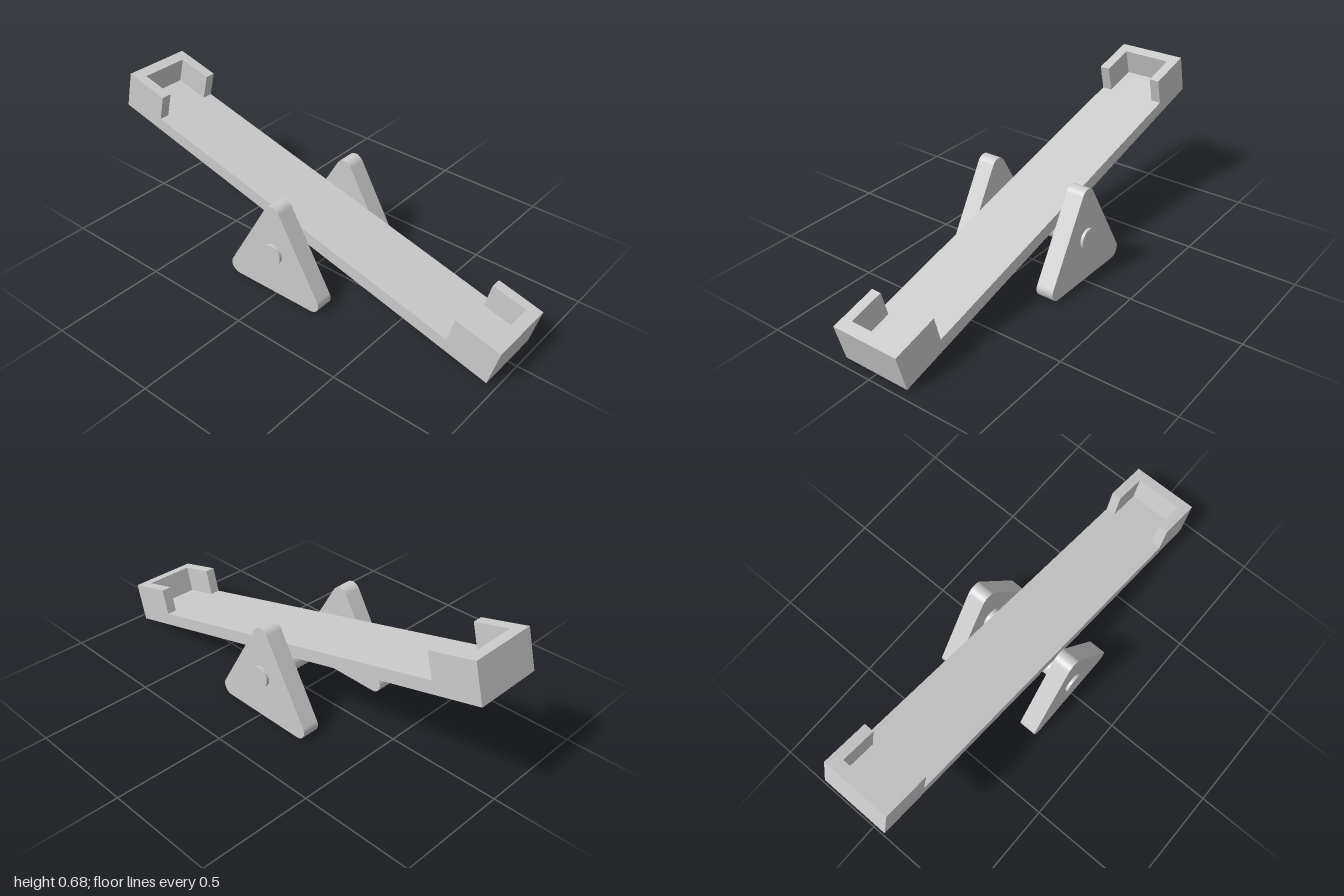
import * as THREE from 'three';

const material = new THREE.MeshStandardMaterial({ color: 0xcccccc, flatShading: true });

function addMesh(parent, name, geometry, x = 0, y = 0, z = 0) {
  const mesh = new THREE.Mesh(geometry, material);
  mesh.name = name;
  mesh.position.set(x, y, z);
  parent.add(mesh);
  return mesh;
}

// Triangle with rounded corners, slightly uneven at the base
function supportShape() {
  const r = 0.041;
  const corners = [[0.217, 0.041], [0.012, 0.392], [-0.188, 0.046]];
  const shape = new THREE.Shape();
  corners.forEach(([x, y], i) => {
    const start = -Math.PI / 2 + i * Math.PI * 2 / 3;
    shape.absarc(x, y, r, start, start + Math.PI * 2 / 3, false);
  });
  return shape;
}

export function createModel() {
  const model = new THREE.Group();
  model.name = 'seesaw';

  // Tilted plank with a U-shaped seat rim at each end
  const length = 2.021, width = 0.31, thick = 0.057;
  const plank = new THREE.Group();
  plank.name = 'plank';
  plank.position.set(-0.002, 0.255, -0.0185);
  plank.rotation.x = 0.252;
  model.add(plank);
  addMesh(plank, 'board', new THREE.BoxGeometry(width, thick, length), 0, thick / 2, 0);

  const w = width / 2, inner = 0.11, depth = 0.21, wall = 0.052, height = 0.118;
  const rim = new THREE.Shape([
    [-w, 0], [w, 0], [w, depth], [inner, depth],
    [inner, wall], [-inner, wall], [-inner, depth], [-w, depth],
  ].map(([x, y]) => new THREE.Vector2(x, y)));
  const rimGeometry = new THREE.ExtrudeGeometry(rim, { depth: height, bevelEnabled: false });
  rimGeometry.rotateX(-Math.PI / 2); // the opening now points to -z
  const front = addMesh(plank, 'frontSeatRim', rimGeometry, 0, thick, length / 2);
  front.rotation.y = 0;
  const back = addMesh(plank, 'backSeatRim', rimGeometry, 0, thick, -length / 2);
  back.rotation.y = Math.PI;

  // Side supports
  const supportGeometry = new THREE.ExtrudeGeometry(supportShape(), {
    depth: 0.08, bevelEnabled: false, curveSegments: 6,
  });
  supportGeometry.translate(0, 0, -0.04);
  supportGeometry.rotateY(Math.PI / 2);
  addMesh(model, 'leftSupport', supportGeometry, 0.23, 0, 0);
  addMesh(model, 'rightSupport', supportGeometry, -0.23, 0, 0);

  // Axle through both supports
  const axle = new THREE.CylinderGeometry(0.046, 0.046, 0.566, 20);
  axle.rotateZ(Math.PI / 2);
  addMesh(model, 'axle', axle, 0, 0.203, -0.01);

  return model;
}
